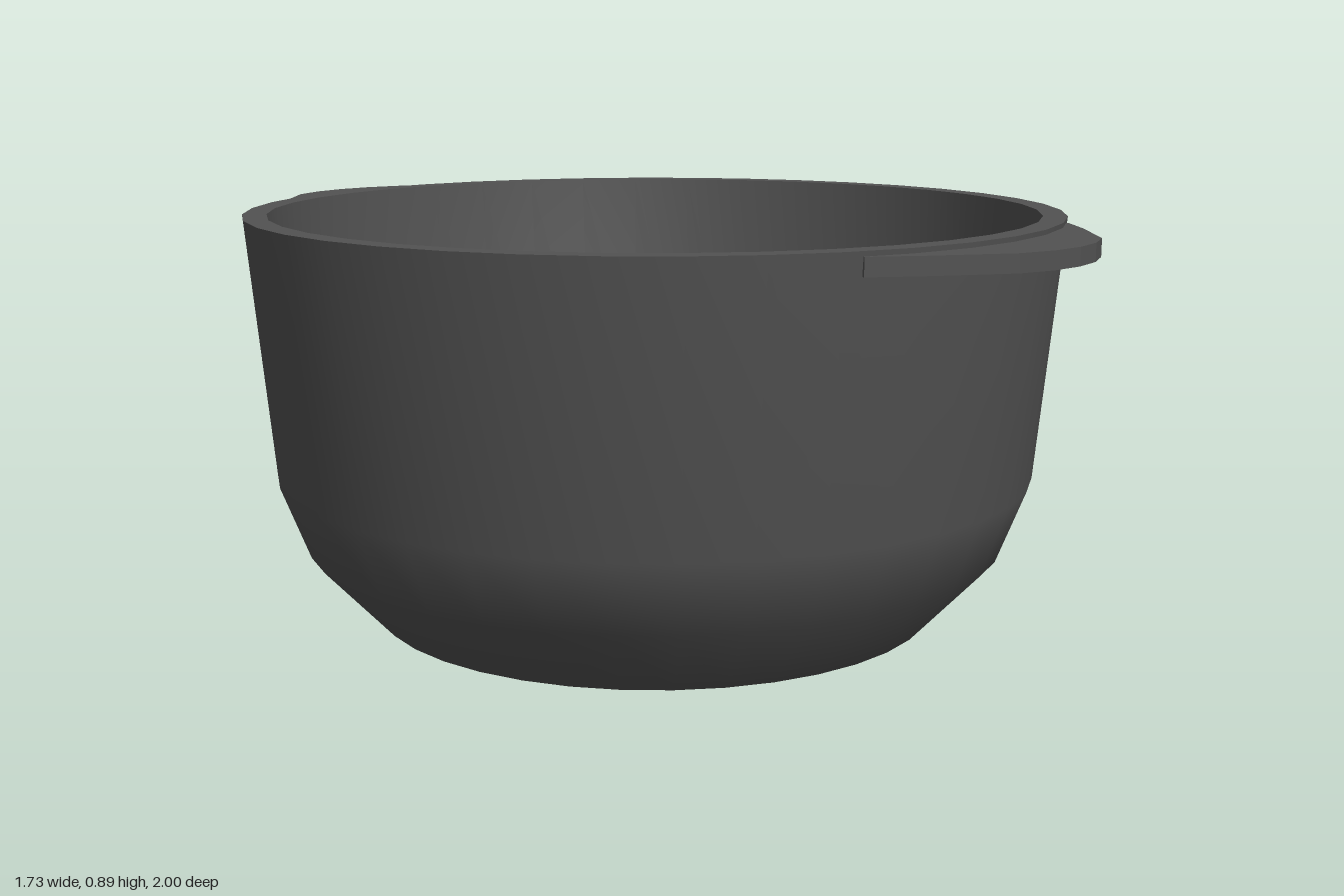
import * as THREE from 'three';

const SEGMENTS = 38;

export function createModel() {
  const iron = new THREE.MeshStandardMaterial({ color: 0x525252 });
  iron.name = 'dark iron';
  const pot = new THREE.Group();
  pot.name = 'pot';

  const add = (name, geometry) => {
    const mesh = new THREE.Mesh(geometry, iron);
    mesh.name = name;
    pot.add(mesh);
    return mesh;
  };
  const lathe = (name, profile) =>
    add(name, new THREE.LatheGeometry(profile.map(([r, y]) => new THREE.Vector2(r, y)), SEGMENTS));

  // Body: each smooth stretch is its own lathe so the edges between stay sharp
  lathe('base', [[0, 0], [0.55, 0]]);
  lathe('outerWall', [[0.55, 0], [0.61, 0.02], [0.755, 0.175], [0.815, 0.33], [0.867, 0.886]]);
  lathe('rim', [[0.867, 0.886], [0.817, 0.886]]);
  lathe('innerWall', [
    [0.817, 0.886], [0.765, 0.34], [0.71, 0.205], [0.575, 0.065], [0.54, 0.05], [0, 0.05],
  ]);

  // Handle: flat lug whose inner edge is buried in the wall
  const side = [[0.38, 0.78], [0.3, 0.853], [0.16, 0.963], [0.08, 0.991]];
  const outline = [...side, [0, 1], ...side.map(([x, z]) => [-x, z]).reverse()];
  for (let i = 0; i <= 8; i++) {
    const a = -0.45 + (0.9 * i) / 8;
    outline.push([0.84 * Math.sin(a), 0.84 * Math.cos(a)]);
  }
  const shape = new THREE.Shape(outline.map(([x, z]) => new THREE.Vector2(x, z)));
  const lug = new THREE.ExtrudeGeometry(shape, { depth: 0.036, bevelEnabled: false });
  lug.rotateX(Math.PI / 2).translate(0, 0.876, 0);
  add('frontHandle', lug);
  add('backHandle', lug).rotation.y = Math.PI;

  return pot;
}
